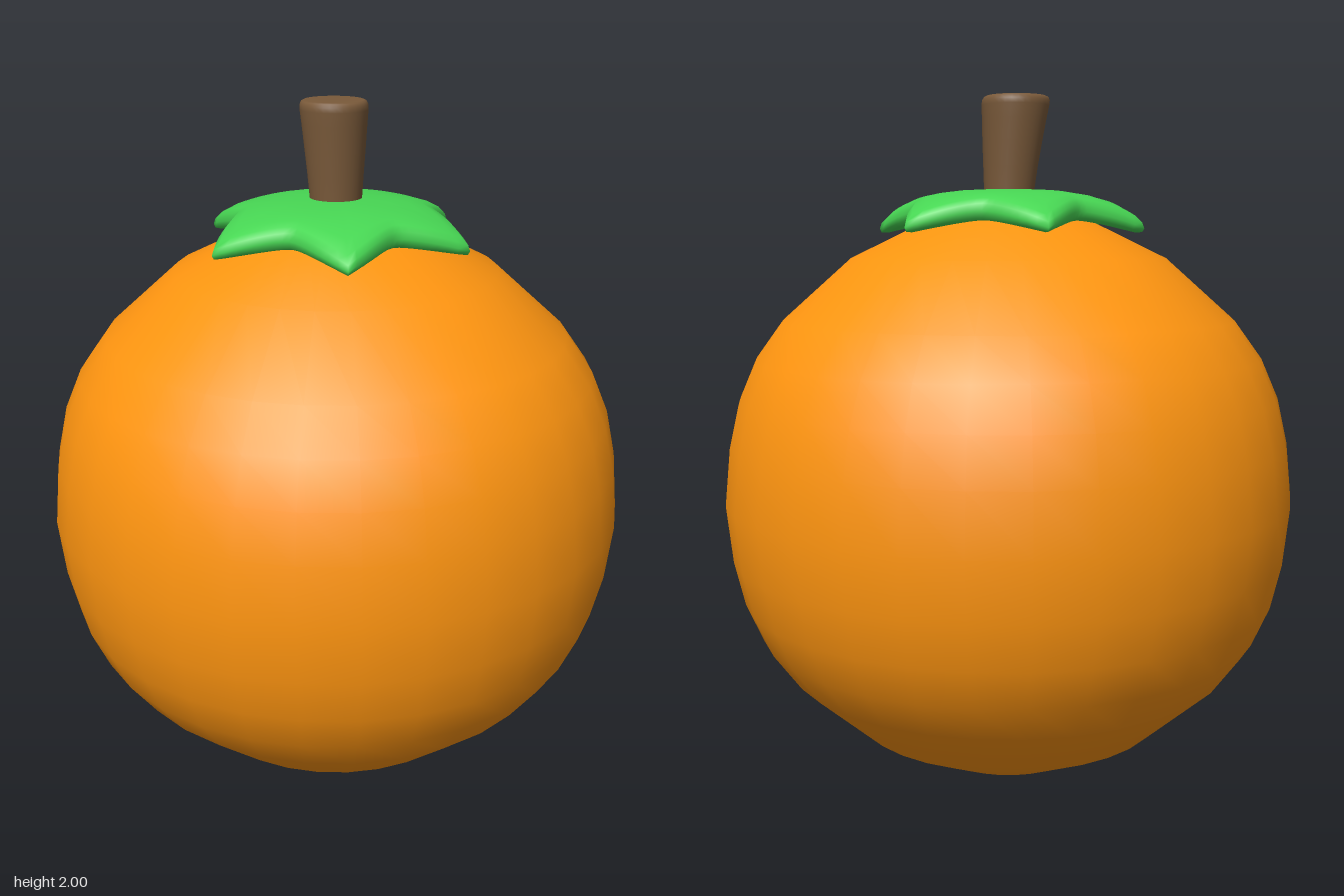
import * as THREE from 'three';

const mat = (color, side = THREE.FrontSide) => new THREE.MeshStandardMaterial({ color, side });
const vec = ([r, y]) => new THREE.Vector2(r, y);

function part(name, geometry, material) {
  const mesh = new THREE.Mesh(geometry, material);
  mesh.name = name;
  return mesh;
}

// Round fruit, with wider spaced rings towards the poles
function fruit() {
  const half = [[0, 0.848], [0.23, 0.81], [0.46, 0.698], [0.66, 0.52], [0.74, 0.41], [0.79, 0.295], [0.82, 0.165]];
  const profile = [
    ...half.map(([r, h]) => [r, 0.85 - h]),
    [0.837, 0.02 + 0.83],
    ...half.slice().reverse().map(([r, h]) => [r, 0.85 + h]),
  ];
  return part('fruit', new THREE.LatheGeometry(profile.map(vec), 32), mat(0xff9510));
}

// Six-pointed leaf cap: star-shaped rings running from top centre over the rim to the underside
function leafCap() {
  const segments = 96;
  const rings = [
    [0.001, 1], [0.25, 1], [0.5, 1], [0.7, 1], [0.85, 1], [0.94, 0.94], [0.985, 0.78],
    [1, 0.5], [0.985, 0.22], [0.94, 0.06], [0.85, 0], [0.6, 0],
  ];
  const positions = [], index = [];
  for (const [t, lift] of rings) {
    for (let i = 0; i < segments; i++) {
      const a = (i / segments) * Math.PI * 2;
      // u is 0 on a leaf tip and 1 in the valley between two tips
      const u = Math.abs(((i / segments) * 6 + 0.5) % 1 - 0.5) * 2;
      const star = 0.285 + 0.115 * Math.pow(1 - u, 1.6);
      const r = t * (0.285 + (star - 0.285) * Math.min(1, t * t * 1.1));
      const top = 1.745 - 1.4 * r ** 3;
      const bottom = 1.73 - 0.3 * r;
      positions.push(Math.sin(a) * r, bottom + (top - bottom) * lift, Math.cos(a) * r);
    }
  }
  for (let j = 0; j < rings.length - 1; j++) {
    for (let i = 0; i < segments; i++) {
      const k = (i + 1) % segments;
      const a = j * segments + i, b = j * segments + k;
      const c = a + segments, d = b + segments;
      index.push(a, c, b, b, c, d);
    }
  }
  const geometry = new THREE.BufferGeometry();
  geometry.setAttribute('position', new THREE.Float32BufferAttribute(positions, 3));
  geometry.setIndex(index);
  geometry.computeVertexNormals();
  return part('leafCap', geometry, mat(0x47d653, THREE.DoubleSide));
}

// Stem that flares upwards and bends to the back
function stem() {
  const profile = [
    [0.068, 1.66], [0.073, 1.74], [0.079, 1.81], [0.086, 1.88], [0.092, 1.94],
    [0.096, 1.975], [0.096, 1.988], [0.091, 1.997], [0.084, 2], [0, 2],
  ];
  const geometry = new THREE.LatheGeometry(profile.map(vec), 32);
  const p = geometry.attributes.position;
  for (let i = 0; i < p.count; i++) {
    const h = Math.max(0, p.getY(i) - 1.7);
    p.setZ(i, p.getZ(i) - 0.16 * h - 0.4 * h * h);
  }
  return part('stem', geometry, mat(0x7a5a3a));
}

export function createModel() {
  const group = new THREE.Group();
  group.name = 'orangeFruit';
  group.add(fruit(), leafCap(), stem());
  return group;
}
